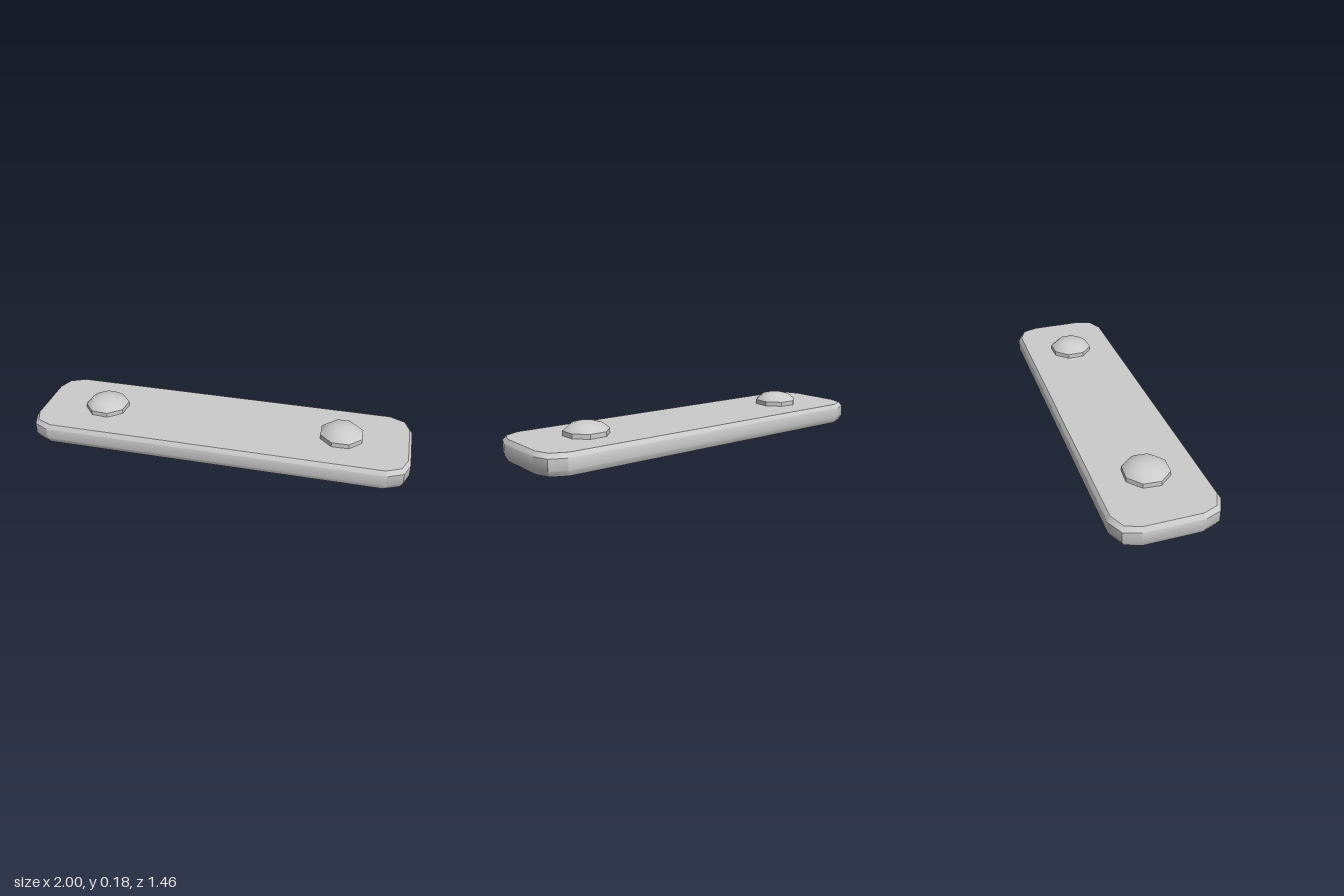
import * as THREE from 'three';
import { toCreasedNormals } from 'three/addons/utils/BufferGeometryUtils.js';

const material = new THREE.MeshStandardMaterial({ color: 0xcccccc, side: THREE.DoubleSide });

// Hollow plate: a clipped-corner outline stacked in rings, capped on top and open below
function plateGeometry() {
  const quarter = [[1.05, 0.156], [1.02, 0.24], [0.936, 0.281]];
  const mirrored = quarter.map(([x, z]) => [-x, z]).reverse();
  const half = [...quarter, ...mirrored];
  const outline = [...half, ...half.map(([x, z]) => [-x, -z])];
  const rings = [[0, 0.015], [0.03, 0], [0.09, 0], [0.113, 0.016]]; // height, inset
  const n = outline.length;
  const pos = [], index = [];
  for (const [y, inset] of rings) {
    for (const [x, z] of outline) pos.push(x * (1 - inset / 1.05), y, z * (1 - inset / 0.281));
  }
  for (let r = 0; r < rings.length - 1; r++) {
    for (let i = 0; i < n; i++) {
      const a = r * n + i, b = r * n + (i + 1) % n;
      index.push(a, a + n, b, b, a + n, b + n);
    }
  }
  const top = (rings.length - 1) * n;
  pos.push(0, 0.113, 0);
  for (let i = 0; i < n; i++) index.push(rings.length * n, top + (i + 1) % n, top + i);
  const geo = new THREE.BufferGeometry();
  geo.setAttribute('position', new THREE.Float32BufferAttribute(pos, 3));
  geo.setIndex(index);
  return toCreasedNormals(geo, 0.65);
}

// Eight-sided rivet: straight collar under a shallow dome, open below
function rivetGeometry() {
  const profile = [[0.122, 0.085], [0.122, 0.138], [0.083, 0.17], [0.04, 0.181], [0, 0.184]];
  const geo = new THREE.LatheGeometry(profile.map(p => new THREE.Vector2(...p)), 8);
  return toCreasedNormals(geo, 0.75);
}

export function createModel() {
  const model = new THREE.Group();
  model.name = 'rivetedPlate';

  const plate = new THREE.Mesh(plateGeometry(), material);
  plate.name = 'plate';
  plate.rotation.y = THREE.MathUtils.degToRad(31);
  model.add(plate);

  // A rivet near each end
  const rivetGeo = rivetGeometry();
  for (const [side, name, turn] of [[1, 'leftRivet', 10], [-1, 'rightRivet', 4]]) {
    const rivet = new THREE.Mesh(rivetGeo, material);
    rivet.name = name;
    rivet.position.set(side * 0.577, 0, side * -0.348);
    rivet.rotation.y = THREE.MathUtils.degToRad(turn);
    model.add(rivet);
  }
  return model;
}
